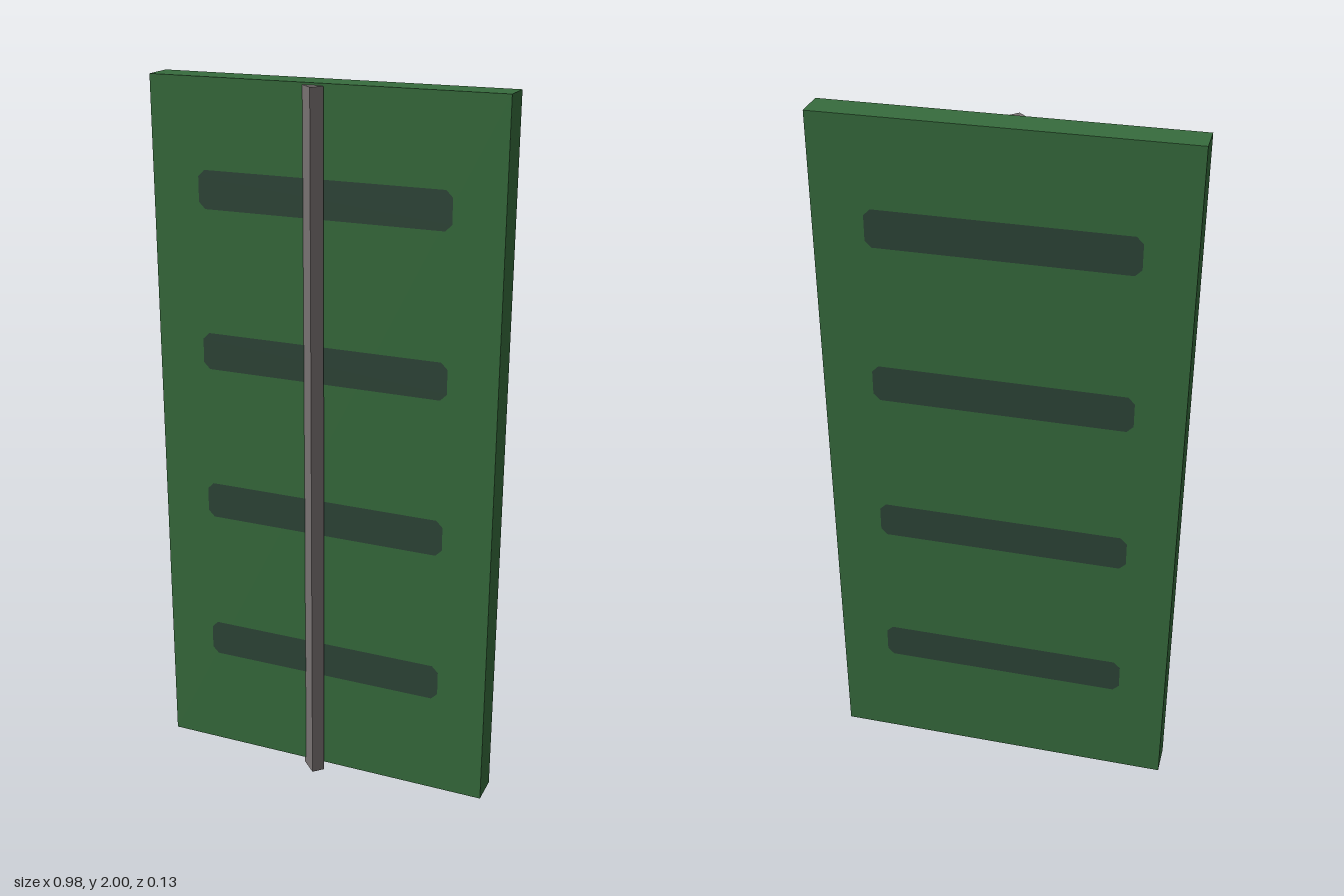
import * as THREE from 'three';

const mat = (name, color) => {
  const m = new THREE.MeshStandardMaterial({ color });
  m.name = name;
  return m;
};

// Rectangle with clipped corners, centred on the origin
function clippedRect(w, h, c) {
  const x = w / 2, y = h / 2;
  return new THREE.Shape([
    [-x + c, -y], [x - c, -y], [x, -y + c], [x, y - c],
    [x - c, y], [-x + c, y], [-x, y - c], [-x, -y + c],
  ].map(([px, py]) => new THREE.Vector2(px, py)));
}

export function createModel() {
  const group = new THREE.Group();
  const green = mat('panel green', 0x376c3d);
  const dark = mat('slot dark green', 0x2e4638);
  const grey = mat('rod grey', 0x787171);

  const add = (name, geometry, material, x, y, z) => {
    const mesh = new THREE.Mesh(geometry, material);
    mesh.name = name;
    mesh.position.set(x, y, z);
    group.add(mesh);
    return mesh;
  };

  // Main slab
  const back = -0.062, front = 0.026;
  add('panel', new THREE.BoxGeometry(0.978, 1.98, front - back), green, 0, 1.01, (front + back) / 2);

  // Painted slots on both faces
  const slot = new THREE.ShapeGeometry(clippedRect(0.706, 0.104, 0.018));
  for (let i = 0; i < 4; i++) {
    const y = 0.367 + i * 0.447;
    add('frontSlot', slot, dark, -0.002, y, front + 0.001);
    add('backSlot', slot, dark, -0.002, y, back - 0.001).rotation.y = Math.PI;
  }

  // Square-edged rod turned on its corner, half sunk into the front
  const rod = add('rod', new THREE.BoxGeometry(0.037, 1.994, 0.061), grey, -0.0265, 0.997, 0.0275);
  rod.rotation.y = Math.PI / 4;
  return group;
}
